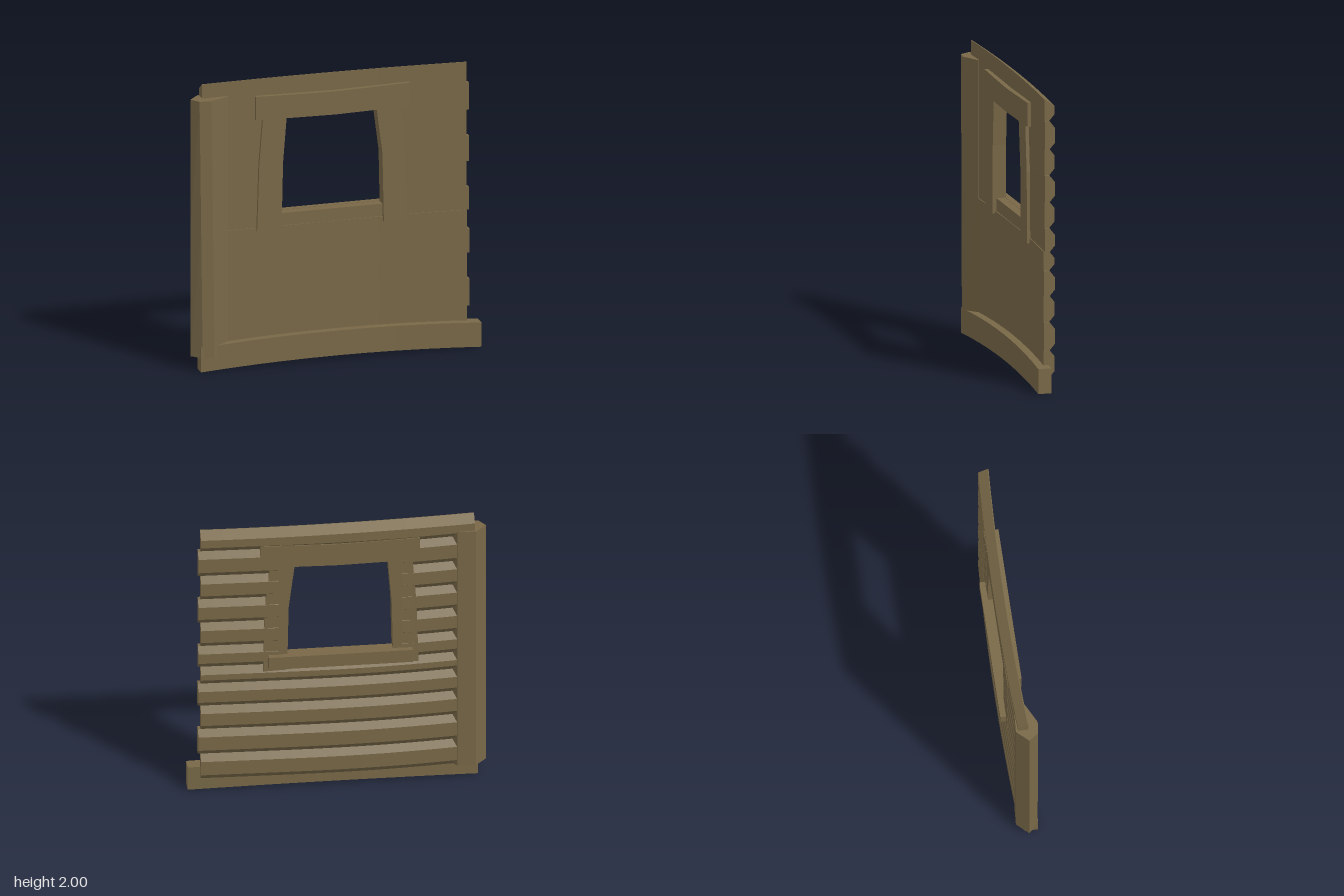
import * as THREE from 'three';

const wood = new THREE.MeshStandardMaterial({ color: 0x786847 });
wood.name = 'weatheredWood';

// The wall bows backwards in the middle
const bow = (x) => 0.03 * x * x - 0.03;

// Skin a list of closed rings (each an array of Vector3) and cap both ends
function loft(rings) {
  const pos = [];
  const tri = (a, b, c) => pos.push(...a.toArray(), ...b.toArray(), ...c.toArray());
  const n = rings[0].length;
  for (let i = 0; i < rings.length - 1; i++) {
    for (let j = 0; j < n; j++) {
      const k = (j + 1) % n;
      const a = rings[i][j], b = rings[i][k], c = rings[i + 1][k], d = rings[i + 1][j];
      tri(a, b, c);
      tri(a, c, d);
    }
  }
  const first = rings[0], last = rings[rings.length - 1];
  for (let j = 1; j < n - 1; j++) {
    tri(first[0], first[j + 1], first[j]);
    tri(last[0], last[j], last[j + 1]);
  }
  const geo = new THREE.BufferGeometry();
  geo.setAttribute('position', new THREE.Float32BufferAttribute(pos, 3));
  geo.computeVertexNormals();
  return geo;
}

// Sweep a [z, y] section along x; sections run down the front and up the back
function sweep(x0, x1, steps, section) {
  const rings = [];
  for (let i = 0; i <= steps; i++) {
    const x = x0 + (x1 - x0) * i / steps;
    rings.push(section(x).map(([z, y]) => new THREE.Vector3(x, y, z)));
  }
  return loft(rings);
}

export function createModel() {
  const model = new THREE.Group();
  model.name = 'wallWithWindow';
  const add = (name, geo, parent = model) => {
    const mesh = new THREE.Mesh(geo, wood);
    mesh.name = name;
    parent.add(mesh);
    return mesh;
  };

  // Horizontal boards: flat front, bevelled back
  const wall = new THREE.Group();
  wall.name = 'wallBoards';
  model.add(wall);
  const edges = [2.0, 1.85, 1.66, 1.48, 1.3, 1.12, 0.96, 0.83, 0.66, 0.48, 0.29, 0.1];
  for (let i = 0; i < edges.length - 1; i++) {
    const top = edges[i], bottom = edges[i + 1];
    const isTop = i === 0;
    const end = i % 2 ? 0.932 : 0.915;
    const proud = bottom < 0.9 ? 0.006 : 0;
    const section = (x) => {
      const b = bow(x);
      const sag = -0.008 * (x + 0.92) - 0.004 * Math.sin(x * 3 + 2.5);
      const t = top + (isTop ? -0.008 * (x + 0.92) : sag), u = bottom + sag;
      const front = 0.03 + b + proud, groove = b - 0.004, back = b - 0.04;
      return [
        [front, u], [groove, u], [back, u + 0.042],
        [back, t - 0.046], [isTop ? front - 0.005 : groove, t], [front, t],
      ];
    };
    const besideWindow = top > 1.0 && bottom < 1.75;
    const spans = besideWindow ? [[-0.92, -0.43], [0.4, end]] : [[-0.92, end]];
    for (const [a, b] of spans) add('board', sweep(a, b, besideWindow ? 5 : 12, section), wall);
  }

  // Base beam, slightly arched
  add('baseBeam', sweep(-0.945, 1.0, 10, (x) => {
    const b = bow(x), arch = 1 - x * x;
    const y0 = 0.024 * arch, y1 = 0.17 + 0.028 * arch;
    return [[0.09 + b, y1], [0.09 + b, y0], [b, y0], [b, y1]];
  }));

  // Corner post with a faceted section, [x, z]
  const postSection = [
    [-1.0, 0.02], [-0.945, 0.085], [-0.865, 0.094], [-0.74, 0.025], [-0.8, -0.052], [-0.925, -0.06],
  ];
  add('cornerPost', loft([0.1, 1.0, 1.9].map((y) => postSection.map(([x, z], j) =>
    new THREE.Vector3(x - (j === 1 || j === 2 ? 0.012 * (y - 1) : 0), y, z)))));

  // Window frame
  const frame = new THREE.Group();
  frame.name = 'windowFrame';
  model.add(frame);
  const plank = (name, points, z0, z1) => {
    const shape = new THREE.Shape(points.map(([x, y]) => new THREE.Vector2(x, y)));
    const geo = new THREE.ExtrudeGeometry(shape, { depth: z1 - z0, bevelEnabled: false });
    geo.translate(0, 0, z0);
    add(name, geo, frame);
  };
  plank('rightJamb', [
    [-0.54, 0.93], [-0.37, 0.935], [-0.36, 1.4], [-0.335, 1.715], [-0.5, 1.715], [-0.525, 1.4],
  ], -0.062, 0.03);
  plank('leftJamb', [
    [0.34, 0.92], [0.5, 0.915], [0.49, 1.4], [0.455, 1.715], [0.29, 1.715], [0.33, 1.4],
  ], -0.062, 0.03);
  plank('header', [
    [-0.55, 1.715], [-0.3, 1.71], [0, 1.705], [0.25, 1.71], [0.52, 1.715],
    [0.52, 1.88], [0.25, 1.873], [0, 1.867], [-0.3, 1.873], [-0.55, 1.88],
  ], -0.066, 0.034);

  // Sill between the jambs, and the ledge behind it
  const sill = add('sill', new THREE.BoxGeometry(0.8, 0.1, 0.072), frame);
  sill.position.set(-0.015, 0.988, -0.034);
  const ledge = add('sillLedge', new THREE.BoxGeometry(0.965, 0.092, 0.042), frame);
  ledge.position.set(-0.015, 0.994, -0.081);

  return model;
}
